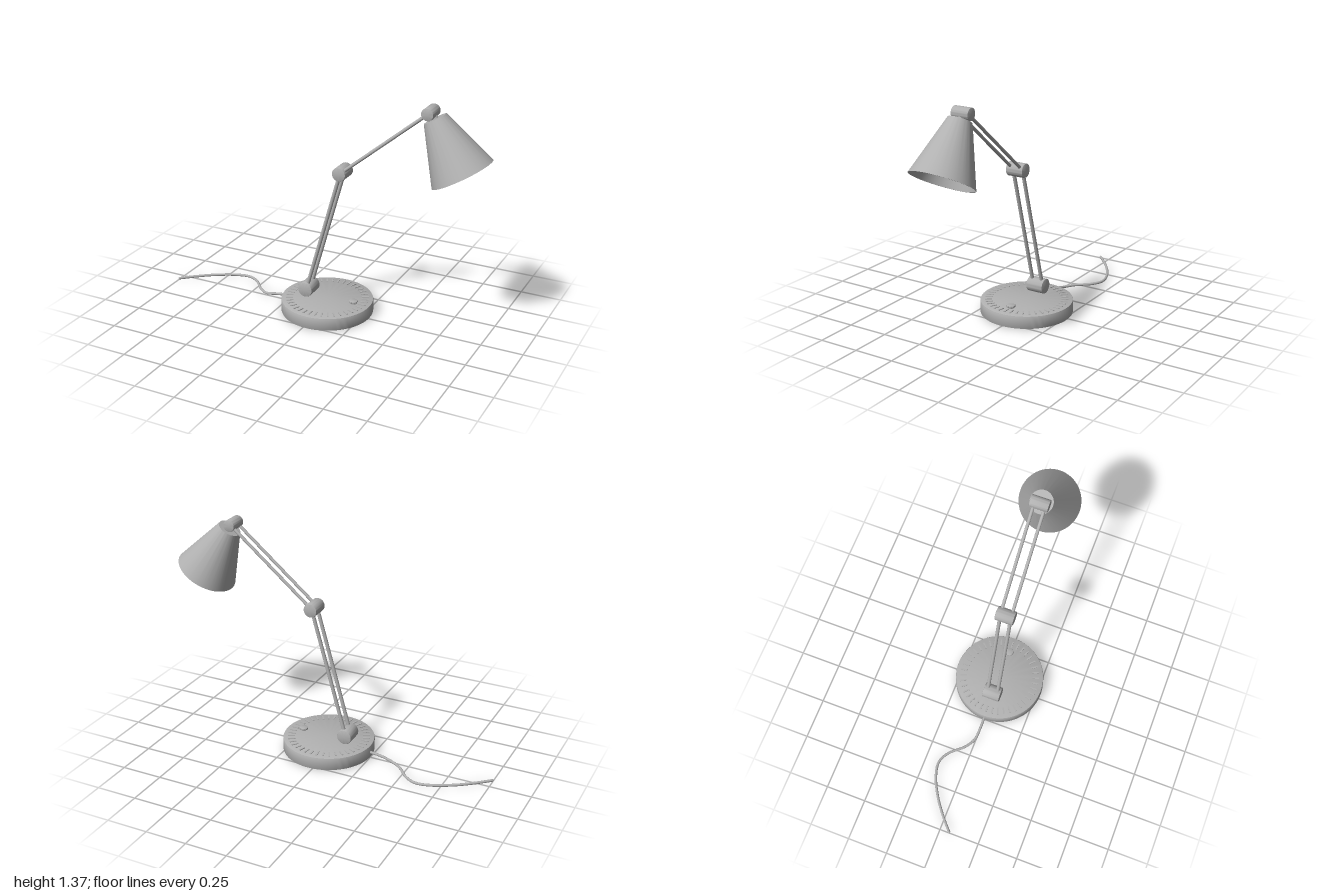
import * as THREE from 'three';
import { toCreasedNormals } from 'three/addons/utils/BufferGeometryUtils.js';

const V = (x, y, z = 0) => new THREE.Vector3(x, y, z);

export function createModel() {
  const lamp = new THREE.Group();
  lamp.name = 'deskLamp';
  const grey = new THREE.MeshStandardMaterial({ color: 0xb0b0b0 });
  grey.name = 'grey';

  const add = (name, geometry, parent = lamp) => {
    const mesh = new THREE.Mesh(geometry, grey);
    mesh.name = name;
    parent.add(mesh);
    return mesh;
  };
  const lathe = (points, segments = 48) => toCreasedNormals(
    new THREE.LatheGeometry(points.map(([r, y]) => new THREE.Vector2(r, y)), segments), 0.6);
  // Solid disc or drum with bevelled rims, standing from y0 to y1
  const drum = (r, y0, y1, b, segments) => lathe([
    [0, y0], [r - b, y0], [r - b * 0.3, y0 + b * 0.3], [r, y0 + b],
    [r, y1 - b], [r - b * 0.3, y1 - b * 0.3], [r - b, y1], [0, y1]], segments);

  // Base with a ring of raised tick marks
  const base = new THREE.Group();
  base.name = 'base';
  base.position.x = 0.025;
  lamp.add(base);
  add('baseDisc', drum(0.277, 0, 0.08, 0.007, 80), base);
  const ticks = 40;
  for (let i = 0; i < ticks; i++) {
    const a = (i / ticks) * Math.PI * 2;
    const tick = add('tickMark', new THREE.BoxGeometry(0.042, 0.006, 0.009), base);
    tick.position.set(Math.cos(a) * 0.228, 0.081, Math.sin(a) * 0.228);
    tick.rotation.y = -a;
  }

  // Control knob: narrow stem, wider cap, ribbed edge
  const knob = new THREE.Group();
  knob.name = 'knob';
  knob.position.set(0.198, 0, 0);
  lamp.add(knob);
  add('knobStem', drum(0.018, 0.078, 0.09, 0.001, 24), knob);
  add('knobCap', drum(0.026, 0.086, 0.098, 0.002, 24), knob);
  for (let i = 0; i < 12; i++) {
    const a = (i / 12) * Math.PI * 2;
    const rib = add('knobRib', new THREE.BoxGeometry(0.003, 0.009, 0.004), knob);
    rib.position.set(Math.cos(a) * 0.026, 0.0915, Math.sin(a) * 0.026);
    rib.rotation.y = -a;
  }

  // Joints: short drums lying along z
  const foot = V(-0.1, 0.125), elbow = V(0.12, 0.902), wrist = V(0.645, 1.335);
  [['footJoint', foot, 0.046], ['elbowJoint', elbow, 0.042], ['headJoint', wrist, 0.036]]
    .forEach(([name, p, r]) => {
      const joint = add(name, drum(r, -0.055, 0.055, 0.004, 40));
      joint.rotation.x = Math.PI / 2;
      joint.position.copy(p);
    });

  // Paired arm rods
  const rod = (name, a, b, r, z) => {
    const d = b.clone().sub(a);
    const mesh = add(name, new THREE.CylinderGeometry(r, r, d.length(), 16));
    mesh.position.copy(a).add(b).multiplyScalar(0.5).setZ(z);
    mesh.quaternion.setFromUnitVectors(V(0, 1), d.normalize());
  };
  for (const s of [1, -1]) {
    rod('lowerRod', foot, elbow, 0.011, s * 0.032);
    rod('upperRod', elbow, wrist, 0.0095, s * 0.032);
  }

  // Lamp head, built pointing down from the top of the shade, then tilted
  const head = new THREE.Group();
  head.name = 'head';
  head.position.set(0.671, 1.303, 0);
  head.rotation.z = Math.PI / 6;
  lamp.add(head);
  add('shade', lathe([
    [0, -0.004], [0.064, -0.004], [0.181, -0.338], [0.184, -0.338],
    [0.068, 0], [0, 0]], 64), head);
  const neck = add('neck', new THREE.CylinderGeometry(0.018, 0.018, 0.045, 24), head);
  neck.position.y = 0.018;
  const socket = add('socket', new THREE.CylinderGeometry(0.03, 0.03, 0.15, 24), head);
  socket.position.y = -0.077;
  const bulb = add('bulb', new THREE.SphereGeometry(0.07, 32, 24), head);
  bulb.position.y = -0.205;

  // Power cord leaving the base and trailing along the table
  const path = new THREE.CatmullRomCurve3([
    V(-0.24, 0.036, 0), V(-0.32, 0.026, 0.001), V(-0.40, 0.009, -0.008),
    V(-0.46, 0.008, -0.045), V(-0.54, 0.008, -0.13), V(-0.61, 0.008, -0.163),
    V(-0.70, 0.008, -0.147), V(-0.82, 0.008, -0.085), V(-0.92, 0.008, -0.01),
    V(-0.996, 0.008, 0.058)]);
  add('cord', new THREE.TubeGeometry(path, 90, 0.008, 12));
  const ends = [path.getPoint(0), path.getPoint(1)];
  ends.forEach((p) => add('cordEnd', new THREE.SphereGeometry(0.008, 12, 8)).position.copy(p));

  return lamp;
}
